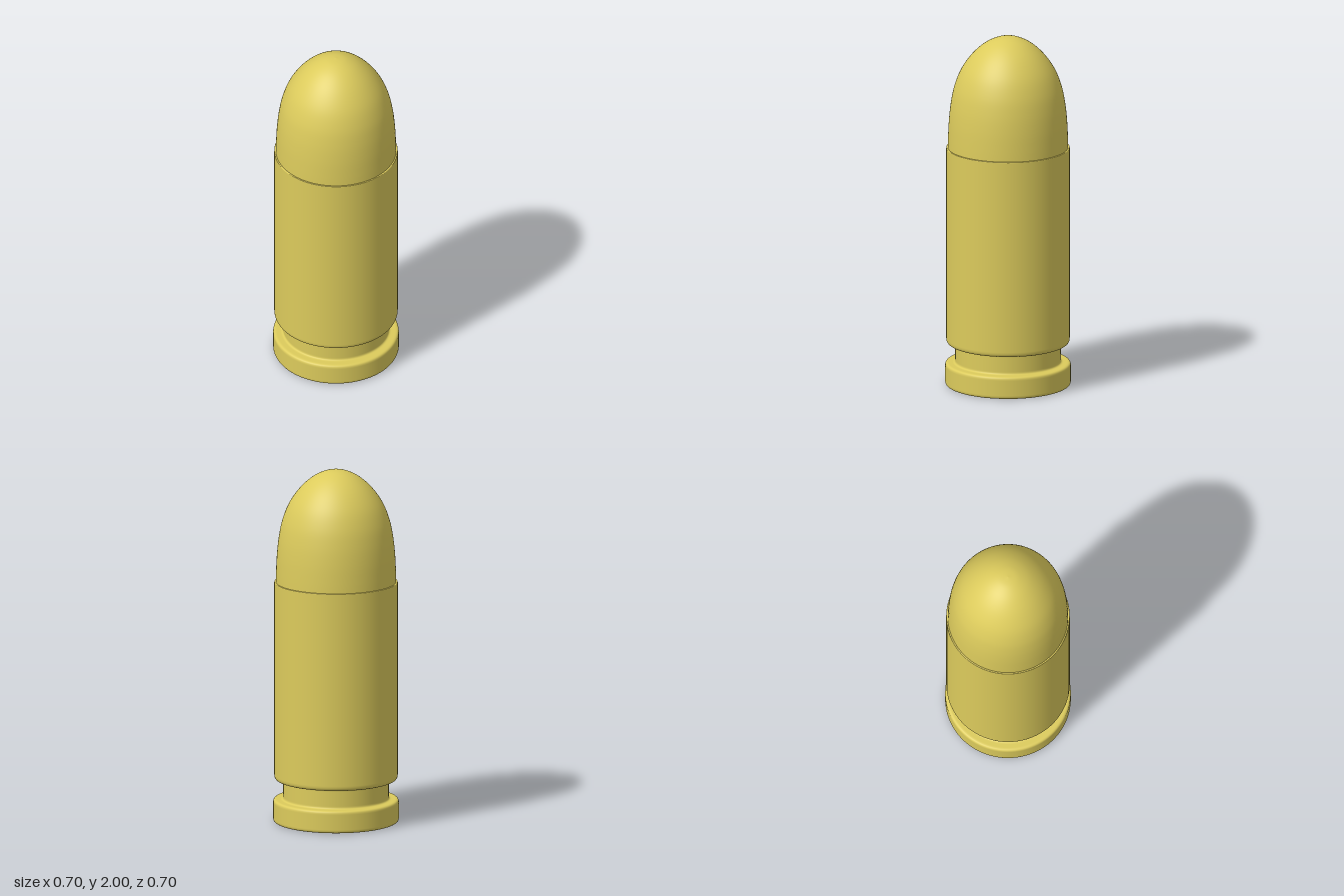
import * as THREE from 'three';

const SIDES = 96;
const brass = new THREE.MeshStandardMaterial({ color: 0xdccb5c });

// Turns corners [radius, y, rounding] into a profile with rounded corners
// and support points that keep the straight runs evenly shaded.
function roundedProfile(corners) {
  const pts = corners.map(([r, y]) => new THREE.Vector2(r, y));
  const out = [pts[0]];
  for (let i = 1; i < pts.length - 1; i++) {
    const size = corners[i][2];
    const toPrev = pts[i - 1].clone().sub(pts[i]).normalize();
    const toNext = pts[i + 1].clone().sub(pts[i]).normalize();
    const at = (dir, d) => pts[i].clone().addScaledVector(dir, d);
    const arc = new THREE.QuadraticBezierCurve(at(toPrev, size), pts[i], at(toNext, size));
    out.push(at(toPrev, size * 1.15), ...arc.getPoints(6), at(toNext, size * 1.15));
  }
  out.push(pts[pts.length - 1]);
  return out;
}

function turned(name, profile) {
  const mesh = new THREE.Mesh(new THREE.LatheGeometry(profile, SIDES), brass);
  mesh.name = name;
  return mesh;
}

export function createModel() {
  const model = new THREE.Group();
  model.name = 'cartridge';

  // Case: flat base, rim, extractor groove, body wall and mouth
  model.add(turned('case', roundedProfile([
    [0, 0],
    [0.35, 0, 0.018],
    [0.35, 0.127, 0.018],
    [0.294, 0.127, 0.014],
    [0.294, 0.238, 0.01],
    [0.344, 0.238, 0.026],
    [0.344, 1.363, 0.005],
    [0.325, 1.363],
  ])));

  // Round-nosed bullet, seated slightly inside the mouth
  const nose = new THREE.SplineCurve([
    [0.336, 1.34], [0.334, 1.42], [0.329, 1.52], [0.318, 1.62], [0.298, 1.715],
    [0.26, 1.81], [0.2, 1.895], [0.13, 1.957], [0.06, 1.991], [0, 2],
  ].map(([r, y]) => new THREE.Vector2(r, y)));
  const profile = nose.getPoints(48);
  profile[profile.length - 1].set(0, 2);
  model.add(turned('bullet', profile));

  return model;
}
